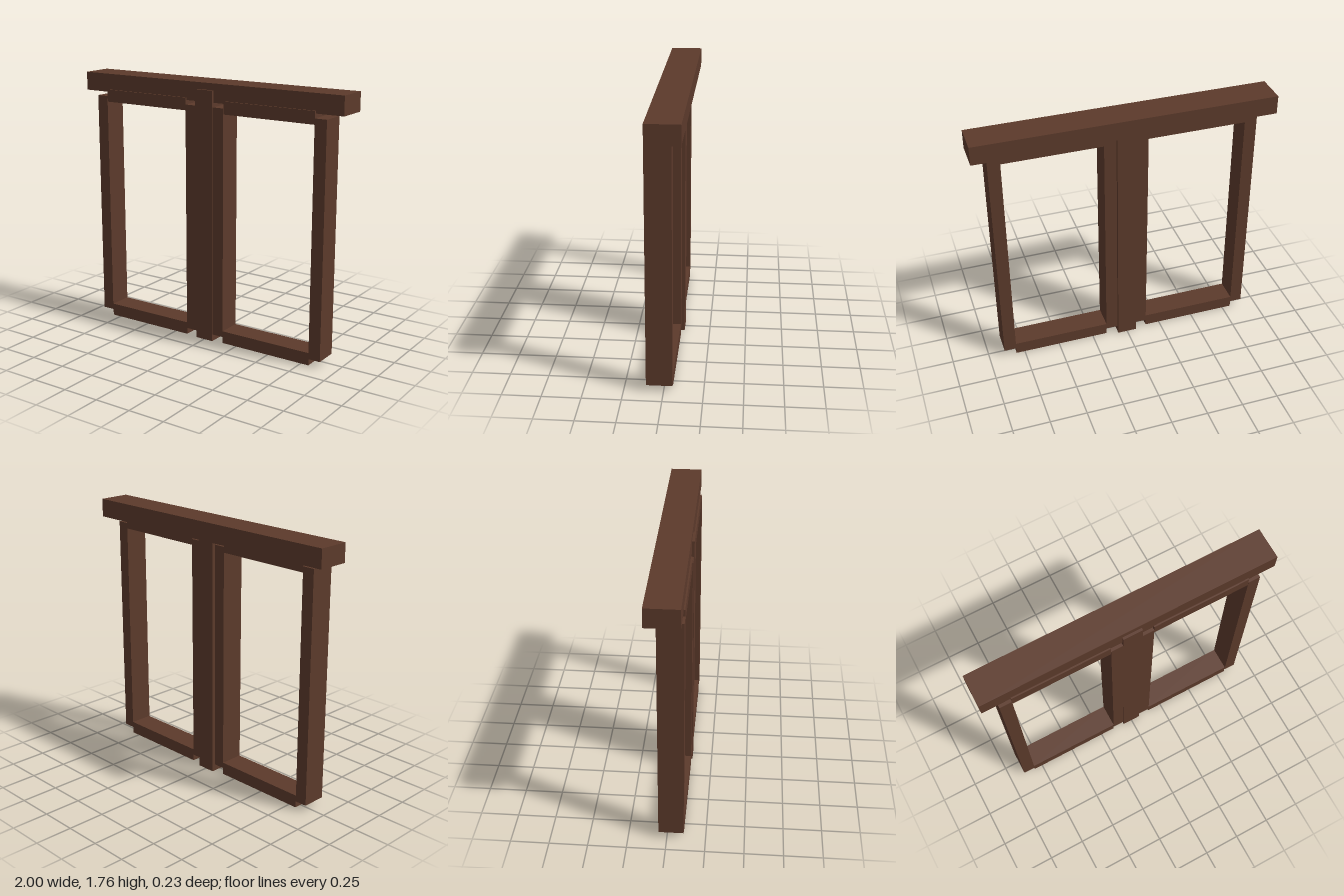
import * as THREE from 'three';

export function createModel() {
  const model = new THREE.Group();
  model.name = 'doubleWindowFrame';
  const wood = new THREE.MeshStandardMaterial({ color: 0x5c3a2b });
  wood.name = 'dark brown wood';

  // Beam given by its extents on each axis
  function beam(name, [x0, x1], [y0, y1], [z0, z1]) {
    const mesh = new THREE.Mesh(new THREE.BoxGeometry(x1 - x0, y1 - y0, z1 - z0), wood);
    mesh.name = name;
    mesh.position.set((x0 + x1) / 2, (y0 + y1) / 2, (z0 + z1) / 2);
    model.add(mesh);
  }

  // Overhanging lintel and the full-height post between the openings
  beam('lintel', [-1, 1], [1.64, 1.765], [-0.117, 0.097]);
  beam('centrePost', [-0.066, 0.066], [0, 1.72], [-0.075, 0.114]);

  // Two mirrored frames: upright stiles with rails between them
  for (const [side, s] of [['left', 1], ['right', -1]]) {
    const span = (a, b) => (s > 0 ? [a, b] : [-b, -a]);
    beam(side + 'InnerStile', span(0.066, 0.148), [0.047, 1.612], [-0.054, 0.109]);
    beam(side + 'OuterStile', span(0.81, 0.893), [0.047, 1.612], [-0.054, 0.109]);
    beam(side + 'BottomRail', span(0.148, 0.81), [0.003, 0.088], [-0.054, 0.107]);
    beam(side + 'TopRail', span(0.148, 0.81), [1.573, 1.657], [-0.054, 0.107]);
  }
  return model;
}
